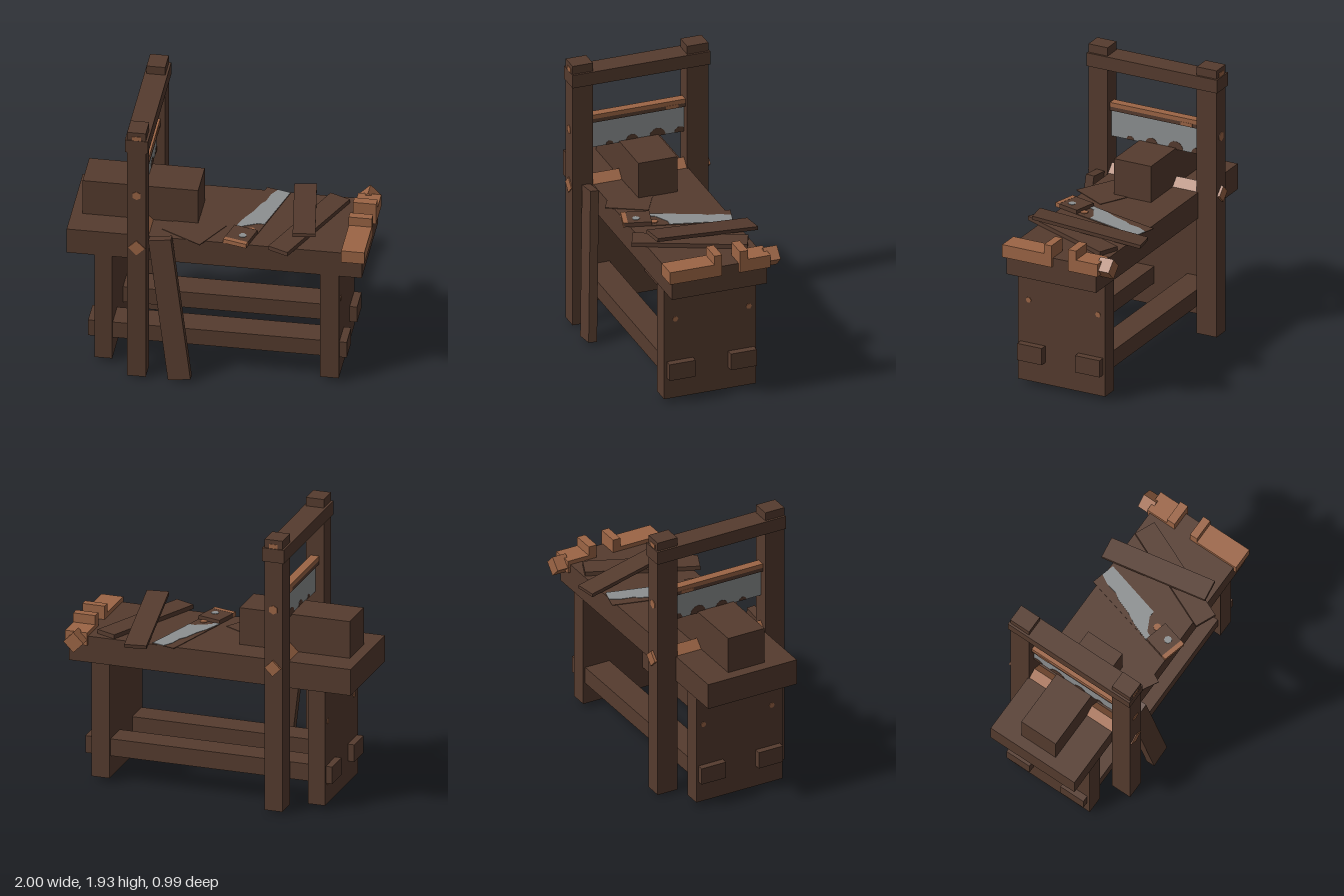
import * as THREE from 'three';

const wood = new THREE.MeshStandardMaterial({ color: 0x553b2e });
wood.name = 'darkWood';
const cut = new THREE.MeshStandardMaterial({ color: 0x9c6545 });
cut.name = 'freshWood';
const steel = new THREE.MeshStandardMaterial({ color: 0x8d9091 });
steel.name = 'steel';

export function createModel() {
  const model = new THREE.Group();
  model.name = 'sawingBench';

  function add(name, geometry, material, parent = model) {
    const mesh = new THREE.Mesh(geometry, material);
    mesh.name = name;
    parent.add(mesh);
    return mesh;
  }

  // Box given by its limits along each axis
  function block(name, material, x0, x1, y0, y1, z0, z1, parent = model) {
    const mesh = add(name, new THREE.BoxGeometry(x1 - x0, y1 - y0, z1 - z0), material, parent);
    mesh.position.set((x0 + x1) / 2, (y0 + y1) / 2, (z0 + z1) / 2);
    return mesh;
  }

  // Box given by its size, centre and rotation (turned, then tilted)
  function board(name, material, size, position, rx = 0, ry = 0, rz = 0) {
    const mesh = add(name, new THREE.BoxGeometry(...size), material);
    mesh.position.set(...position);
    mesh.rotation.set(rx, ry, rz, 'YXZ');
    return mesh;
  }

  // Bench
  block('tabletop', wood, -1, 0.98, 0.845, 1.03, -0.34, 0.335);
  block('leftLegPanel', wood, 0.7, 0.825, 0.035, 0.845, -0.325, 0.33);
  block('rightLegPanel', wood, -0.815, -0.695, 0.035, 0.845, -0.325, 0.33);
  block('frontStretcher', wood, -0.86, 0.875, 0.19, 0.31, 0.125, 0.31);
  block('backStretcher', wood, -0.86, 0.875, 0.19, 0.31, -0.31, -0.125);
  block('workBlock', wood, -0.925, -0.15, 1.03, 1.29, -0.145, 0.132);

  // Worn pegs on the outer faces of the leg panels
  for (const x of [-0.816, 0.826]) for (const y of [0.185, 0.617]) for (const z of [-0.272, 0.25]) {
    const peg = add('legPeg', new THREE.CylinderGeometry(0.02, 0.02, 0.006, 6), cut);
    peg.position.set(x, y, z);
    peg.rotation.z = Math.PI / 2;
  }

  // Tall saw frame straddling the bench
  for (const [z0, z1] of [[0.34, 0.485], [-0.48, -0.33]]) {
    block('framePost', wood, -0.57, -0.445, 0.015, 1.935, z0, z1);
    const outer = z0 > 0 ? z1 : z0;
    const peg = add('postPeg', new THREE.CylinderGeometry(0.032, 0.032, 0.008, 6), cut);
    peg.position.set(-0.507, 1.44, outer);
    peg.rotation.x = Math.PI / 2;
    block('topPeg', cut, -0.537, -0.477, 1.875, 1.905, outer - 0.004, outer + 0.004);
  }
  block('frameBeam', wood, -0.585, -0.43, 1.78, 1.875, -0.49, 0.49);
  board('crossPin', cut, [0.08, 0.08, 0.99], [-0.507, 1.03, -0.003], 0, 0, Math.PI / 4);

  // Hanging blade and its holder
  block('bladeHolder', cut, -0.537, -0.477, 1.5, 1.53, -0.33, 0.34);
  block('bladeHolderBase', wood, -0.537, -0.477, 1.473, 1.5, -0.33, 0.34);
  block('holderChip', cut, -0.539, -0.475, 1.476, 1.5, -0.28, -0.19);
  block('frameBlade', steel, -0.512, -0.502, 1.28, 1.473, -0.33, 0.34);
  for (const [z, r] of [[0.2, 0.027], [0.04, 0.045], [-0.14, 0.057], [-0.3, 0.04]]) {
    const arc = new THREE.Shape();
    arc.absarc(0, 0, r, 0, Math.PI, false);
    const nick = add('bladeNick', new THREE.ExtrudeGeometry(arc, { depth: 0.014, bevelEnabled: false, curveSegments: 6 }), wood);
    nick.rotation.y = Math.PI / 2;
    nick.position.set(-0.514, 1.28, z);
  }

  // Loose boards
  board('leaningBoard', wood, [0.152, 1.055, 0.06], [-0.292, 0.536, 0.424], -0.066, 0, 0.136);
  board('tiltedBoard', wood, [0.15, 0.025, 0.77], [0.535, 1.085, -0.055], -0.13, 0.144);
  board('flatBoard', wood, [0.15, 0.03, 0.768], [0.58, 1.045, 0.05], 0, -0.41);
  board('thinSheet', wood, [0.313, 0.006, 0.291], [-0.167, 1.031, 0.187], 0, -0.5);

  // Hand saw lying on the bench
  const saw = new THREE.Group();
  saw.name = 'handSaw';
  saw.position.set(0.222, 1.03, 0.004);
  saw.rotation.y = -0.256;
  model.add(saw);
  block('sawBack', wood, -0.085, 0.085, 0, 0.004, -0.366, 0.18, saw);
  const outline = [[-0.004, -0.365], [0.085, -0.363], [0.082, 0.058], [0.04, 0.065], [0.003, 0.098],
    [-0.04, 0.135], [-0.048, 0.175], [-0.085, 0.175], [-0.072, 0.04], [-0.05, -0.05],
    [-0.04, -0.16], [-0.022, -0.204], [-0.025, -0.29]];
  const bladeShape = new THREE.Shape(outline.map(([x, z]) => new THREE.Vector2(x, -z)));
  const blade = add('sawBlade', new THREE.ExtrudeGeometry(bladeShape, { depth: 0.003, bevelEnabled: false }), steel, saw);
  blade.rotation.x = -Math.PI / 2;
  blade.position.y = 0.004;
  block('sawHandle', wood, -0.083, 0.083, 0, 0.03, 0.175, 0.362, saw);
  block('handleEnd', cut, -0.083, 0.083, 0, 0.031, 0.335, 0.367, saw);
  for (const [x, y, z, material] of [[0.03, 0.006, 0.155, cut], [0.02, 0.03, 0.275, steel]]) {
    const rivet = add('sawRivet', new THREE.CylinderGeometry(0.026, 0.026, 0.006, 8), material, saw);
    rivet.position.set(x, y, z);
  }

  // Stepped vise jaws and pin on the end of the bench
  block('frontJaw', cut, 0.845, 1, 0.97, 1.06, -0.015, 0.355);
  block('frontJawStep', cut, 0.845, 1, 1.06, 1.125, -0.015, 0.04);
  block('backJaw', cut, 0.845, 1, 0.97, 1.06, -0.36, -0.14);
  block('backJawStep', cut, 0.845, 1, 1.06, 1.125, -0.2, -0.14);
  board('vicePin', cut, [0.1, 0.1, 0.1], [0.915, 1.01, -0.387], 0, 0, Math.PI / 4);

  return model;
}
